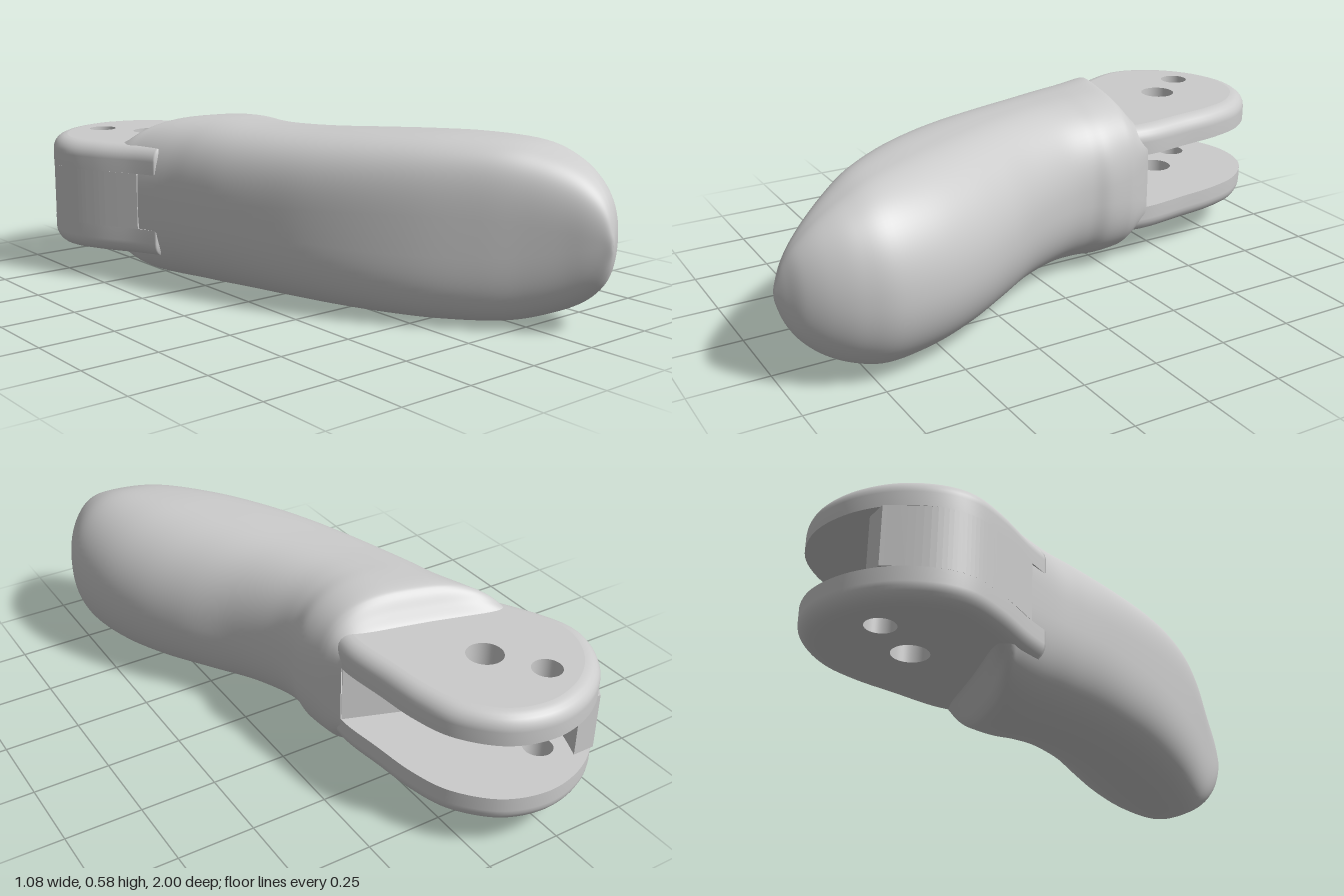
import * as THREE from 'three';

const MID_Y = 0.29;    // height of the horizontal symmetry plane
const SLOT = 0.095;    // half height of the fork slot
const PLATE = 0.19;    // half height over the fork plates
const material = new THREE.MeshStandardMaterial({ color: 0xcccccc, side: THREE.DoubleSide });

// Skin a list of closed rings (arrays of Vector3 of equal length)
function loft(rings) {
  const n = rings[0].length, index = [];
  for (let i = 0; i < rings.length - 1; i++) {
    for (let j = 0; j < n; j++) {
      const k = (j + 1) % n;
      const a = i * n + j, b = i * n + k, c = a + n, d = b + n;
      index.push(a, b, c, b, d, c);
    }
  }
  const geo = new THREE.BufferGeometry().setFromPoints(rings.flat());
  geo.setIndex(index);
  geo.computeVertexNormals();
  return geo;
}

// Smooth plan curve through [x, z] points, as shape points (x, -z)
const planCurve = (pts, n) =>
  new THREE.SplineCurve(pts.map(([x, z]) => new THREE.Vector2(x, -z))).getPoints(n);

function addMesh(parent, name, geo) {
  const mesh = new THREE.Mesh(geo, material);
  mesh.name = name;
  parent.add(mesh);
  return mesh;
}

// Finger body: z, left x, right x, half height, left and right squareness, backward sweep
function bodyGeometry() {
  const rows = [
    [-0.40, -0.48, 0.13, 0.185, 6, 6, 1],
    [-0.385, -0.475, 0.135, 0.195, 5, 5, 1],
    [-0.36, -0.46, 0.145, 0.225, 4, 4, 0.95],
    [-0.33, -0.445, 0.157, 0.262, 3.4, 3.2, 0.9],
    [-0.30, -0.425, 0.166, 0.278, 3, 2.8, 0.8],
    [-0.22, -0.385, 0.18, 0.282, 2.8, 2.5, 0.5],
    [-0.15, -0.36, 0.172, 0.279, 2.8, 2.4, 0.2],
    [-0.05, -0.33, 0.19, 0.276, 2.8, 2.3, 0],
    [0.10, -0.28, 0.26, 0.278, 3, 2.2, 0],
    [0.25, -0.22, 0.365, 0.284, 3.2, 2.1, 0],
    [0.40, -0.14, 0.455, 0.289, 3.4, 2.1, 0],
    [0.55, -0.04, 0.515, 0.29, 3.5, 2.1, 0],
    [0.70, 0.08, 0.538, 0.278, 3.5, 2.1, 0],
    [0.80, 0.165, 0.515, 0.245, 3.3, 2.1, 0],
    [0.88, 0.23, 0.475, 0.2, 3, 2, 0],
    [0.94, 0.275, 0.425, 0.145, 2.7, 2, 0],
    [0.975, 0.303, 0.375, 0.09, 2.4, 2, 0],
    [0.995, 0.32, 0.34, 0.03, 2, 2, 0],
    [0.999, 0.33, 0.33, 0, 2, 2, 0],
  ];
  const curve = (a, b, c) => new THREE.CatmullRomCurve3(
    rows.map(r => new THREE.Vector3(r[a], r[b], r[c])), false, 'catmullrom');
  const span = curve(0, 1, 2), form = curve(3, 4, 5), sweep = curve(6, 6, 6);
  const STEPS = 108, SIDES = 96, rings = [];
  for (let i = 0; i <= STEPS; i++) {
    const t = i / STEPS;
    const { x: z, y: left, z: right } = span.getPoint(t);
    const { x: half, y: nLeft, z: nRight } = form.getPoint(t);
    const back = 0.15 * sweep.getPoint(t).x;
    const mid = (left + right) / 2, w = (right - left) / 2;
    const ring = [];
    for (let j = 0; j < SIDES; j++) {
      const a = j / SIDES * Math.PI * 2, c = Math.cos(a), s = Math.sin(a);
      const e = 2 / (c < 0 ? nLeft : nRight);
      const u = Math.sign(c) * Math.abs(c) ** e;
      const y = half * Math.sign(s) * Math.abs(s) ** e;
      ring.push(new THREE.Vector3(mid + w * u, y, z - back * ((1 - u) / 2) ** 1.5));
    }
    rings.push(ring);
  }
  return loft(rings);
}

// Fork plate: rounded outer rim, flat faces and two pin holes
function forkPlate() {
  const group = new THREE.Group();
  const outline = planCurve([
    [0.115, -0.30], [0.128, -0.42], [0.11, -0.57], [0.09, -0.72], [0.045, -0.85], [-0.06, -0.96],
    [-0.2, -1], [-0.34, -0.97], [-0.455, -0.89], [-0.525, -0.78], [-0.542, -0.67],
    [-0.5, -0.55], [-0.43, -0.42], [-0.39, -0.33],
  ], 90);
  const n = outline.length;
  const inset = d => outline.map((p, i) => {
    const dir = outline[Math.min(i + 1, n - 1)].clone().sub(outline[Math.max(i - 1, 0)]).normalize();
    return new THREE.Vector2(p.x - dir.y * d, p.y + dir.x * d);
  });
  const R = 0.05, profile = [[SLOT, 0]];
  for (let i = 0; i <= 6; i++) {
    const a = i / 6 * Math.PI / 2;
    profile.push([PLATE - R + R * Math.sin(a), R * (1 - Math.cos(a))]);
  }
  addMesh(group, 'plateRim', loft(profile.map(([y, d]) =>
    inset(d).map(p => new THREE.Vector3(p.x, y, -p.y)))));

  const holes = [[-0.197, -0.67, 0.058], [-0.304, -0.823, 0.047]];
  for (const [name, y, d] of [['plateOuterFace', PLATE, R], ['plateInnerFace', SLOT, 0]]) {
    const shape = new THREE.Shape(inset(d));
    for (const [x, z, r] of holes) {
      shape.holes.push(new THREE.Path().absarc(x, -z, r, 0, Math.PI * 2, true));
    }
    addMesh(group, name, new THREE.ShapeGeometry(shape, 24).rotateX(-Math.PI / 2).translate(0, y, 0));
  }
  for (const [x, z, r] of holes) {
    addMesh(group, 'pinHole', new THREE.CylinderGeometry(r, r, PLATE - SLOT, 48, 1, true)
      .translate(x, (PLATE + SLOT) / 2, z));
  }
  return group;
}

// Web closing the slot on one side, with a curved inner face
function webGeometry() {
  const outer = planCurve([[-0.42, -0.40], [-0.5, -0.55], [-0.542, -0.67], [-0.525, -0.78], [-0.445, -0.91]], 32);
  const inner = planCurve([[-0.37, -0.91], [-0.41, -0.8], [-0.42, -0.7], [-0.37, -0.61], [-0.26, -0.54], [0.125, -0.4]], 40);
  const shape = new THREE.Shape([...outer, ...inner, new THREE.Vector2(0.1, 0.36)]);
  return new THREE.ExtrudeGeometry(shape, { depth: 2 * SLOT, bevelEnabled: false })
    .rotateX(-Math.PI / 2).translate(0, -SLOT, 0);
}

export function createModel() {
  const model = new THREE.Group();
  model.name = 'fingertipSegment';
  const parts = new THREE.Group();
  parts.name = 'segment';
  parts.position.y = MID_Y;
  model.add(parts);

  addMesh(parts, 'fingerBody', bodyGeometry());
  addMesh(parts, 'slotWeb', webGeometry());

  // Upper plate and its mirror image below
  for (const [name, side] of [['upperForkPlate', 1], ['lowerForkPlate', -1]]) {
    const plate = forkPlate();
    plate.name = name;
    plate.scale.y = side;
    parts.add(plate);
  }
  return model;
}
